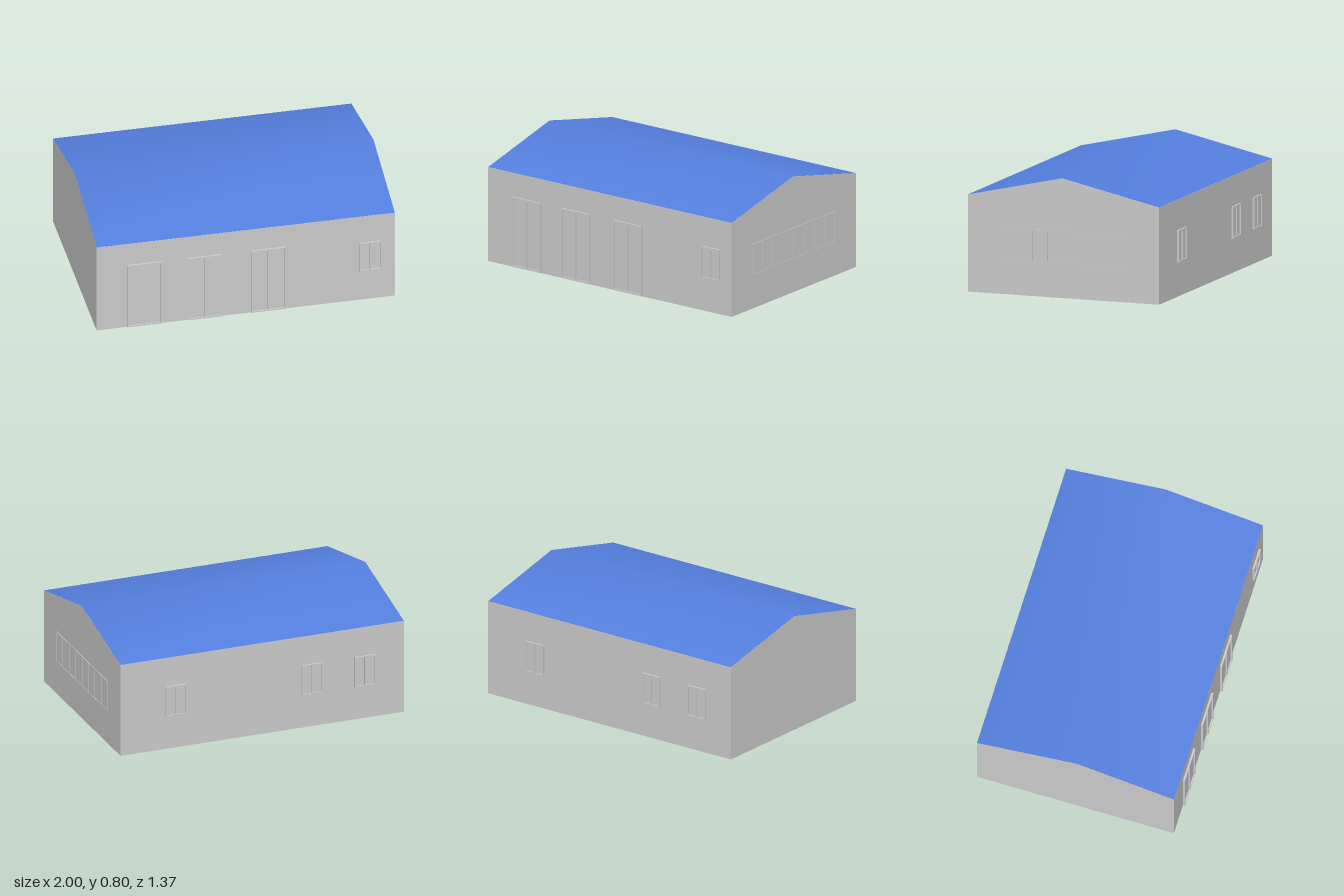
import * as THREE from 'three';

const grey = new THREE.MeshStandardMaterial({ color: 0xcccccc });
const blue = new THREE.MeshStandardMaterial({ color: 0x5580e0, side: THREE.DoubleSide });

const X0 = -1, X1 = 0.995;   // gable ends
const Z = 0.673;             // half depth of the walls
const EAVE = 0.645, RIDGE = 0.795, RIDGE_Z = 0.008;

function box(parent, name, w, h, d, x, y, z) {
  const mesh = new THREE.Mesh(new THREE.BoxGeometry(w, h, d), grey);
  mesh.name = name;
  mesh.position.set(x, y, z);
  parent.add(mesh);
}

// Framed opening in the XY plane, facing +z, origin at its bottom centre
function opening(name, w, h, depth, bar) {
  const g = new THREE.Group();
  g.name = name;
  box(g, 'pane', w - bar, h - bar, depth * 0.3, 0, h / 2, depth * 0.15);
  for (const x of [-(w - bar) / 2, 0, (w - bar) / 2])
    box(g, 'upright', bar, h - 2 * bar, depth, x, h / 2, depth / 2);
  for (const y of [bar / 2, h - bar / 2])
    box(g, 'rail', w, bar, depth, 0, y, depth / 2);
  return g;
}

// Gabled building shell, extruded along x
function walls() {
  const s = new THREE.Shape();
  const lower = 0.001; // keeps the shell just under the roof skin
  s.moveTo(-Z, 0);
  s.lineTo(Z, 0);
  s.lineTo(Z, EAVE - lower);
  s.lineTo(-RIDGE_Z, RIDGE - lower);
  s.lineTo(-Z, EAVE - lower);
  const geo = new THREE.ExtrudeGeometry(s, { depth: X1 - X0, bevelEnabled: false });
  geo.rotateY(Math.PI / 2);
  geo.translate(X0, 0, 0);
  const mesh = new THREE.Mesh(geo, grey);
  mesh.name = 'walls';
  return mesh;
}

// Thin roof skin, with normals shared across the ridge for a soft gradient
function roof() {
  const pos = [];
  for (const [y, z] of [[EAVE, Z], [RIDGE, RIDGE_Z], [EAVE, -Z]])
    pos.push(X0, y, z, X1, y, z);
  const geo = new THREE.BufferGeometry();
  geo.setAttribute('position', new THREE.Float32BufferAttribute(pos, 3));
  geo.setIndex([0, 1, 3, 0, 3, 2, 2, 3, 5, 2, 5, 4]);
  geo.computeVertexNormals();
  const mesh = new THREE.Mesh(geo, blue);
  mesh.name = 'roof';
  return mesh;
}

export function createModel() {
  const model = new THREE.Group();
  model.name = 'building';
  model.add(walls(), roof());

  // Double doors along the front
  for (const x of [-0.68, -0.277, 0.148]) {
    const door = opening('doubleDoor', 0.233, 0.477, 0.014, 0.009);
    door.position.set(x, 0.005, Z);
    model.add(door);
  }

  // Front window
  const front = opening('frontWindow', 0.147, 0.213, 0.014, 0.006);
  front.position.set(0.828, 0.23, Z);
  model.add(front);

  // Back windows
  for (const x of [-0.723, -0.352, 0.606]) {
    const win = opening('backWindow', 0.147, 0.213, 0.014, 0.008);
    win.position.set(x, 0.23, -Z);
    win.rotation.y = Math.PI;
    model.add(win);
  }

  // Row of four two-light windows on the left gable
  for (let i = 0; i < 4; i++) {
    const win = opening('gableWindow', 0.224, 0.213, 0.005, 0.006);
    win.position.set(X1, 0.23, (i - 1.5) * 0.224);
    win.rotation.y = Math.PI / 2;
    model.add(win);
  }
  return model;
}
